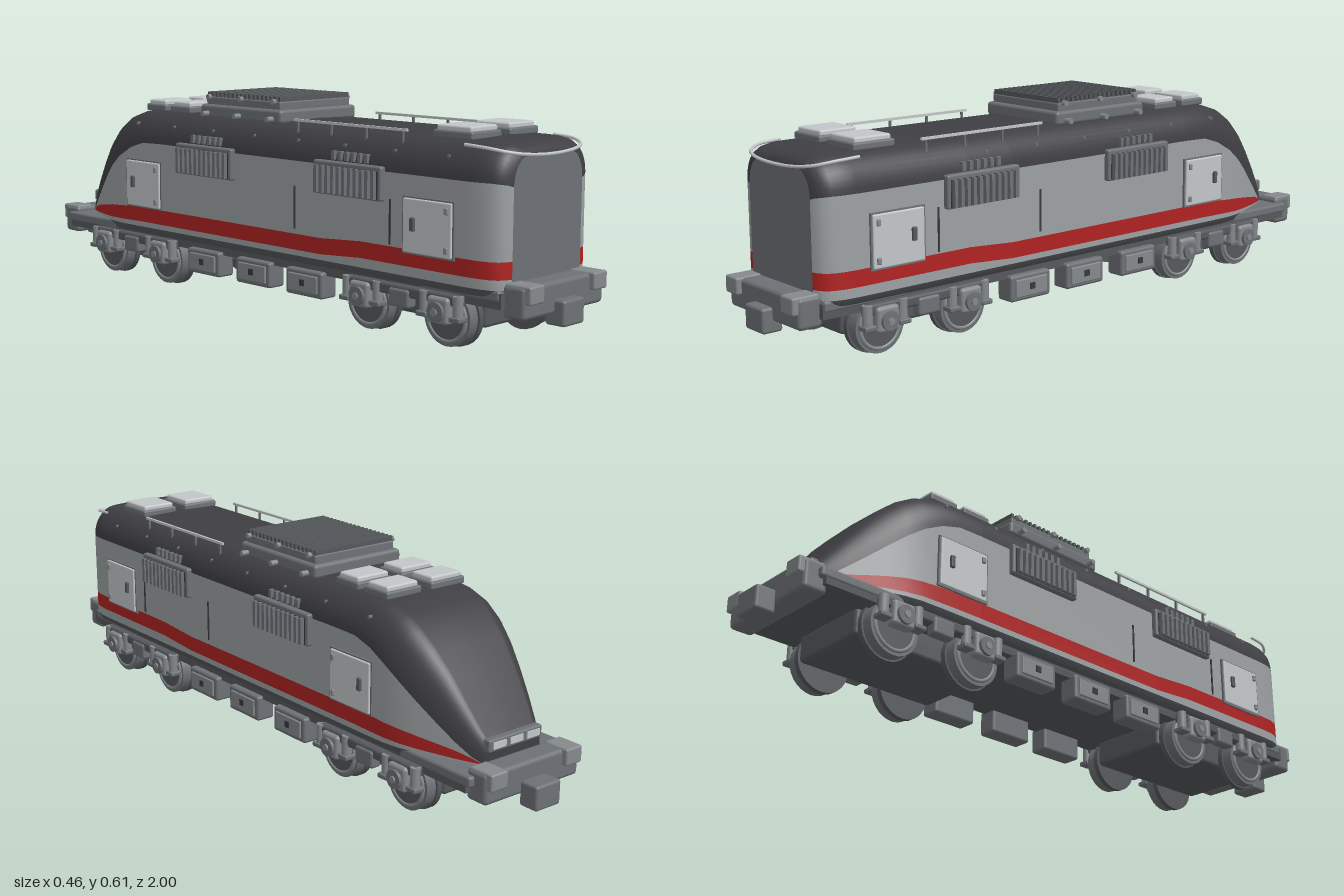
import * as THREE from 'three';
import { RoundedBoxGeometry } from 'three/addons/geometries/RoundedBoxGeometry.js';

const paint = (name, color) => Object.assign(new THREE.MeshStandardMaterial({ color }), { name });
const MAT = {
  roof: paint('charcoal roof', 0x3f3e43),
  body: paint('light grey body', 0x9da1a3),
  red: paint('red stripe', 0xb02222),
  steel: paint('steel grey', 0x6d7175),
  pale: paint('pale panel', 0xc3c6c8),
  frame: paint('dark underframe', 0x55585c),
  iron: paint('axle box grey', 0x85898c),
  seam: paint('dark seam', 0x38393c),
};

// Body stations: z, half width, half width of flat roof, top, roof edge, stripe top, stripe bottom
const STATIONS = [
  [0.912, 0.143, 0.09, 0.507, 0.43, 0.245, 0.2],
  [0.908, 0.16, 0.095, 0.518, 0.435, 0.245, 0.2],
  [0.897, 0.178, 0.1, 0.528, 0.438, 0.245, 0.2],
  [0.878, 0.19, 0.108, 0.535, 0.44, 0.245, 0.2],
  [0.85, 0.197, 0.115, 0.539, 0.44, 0.245, 0.2],
  [0.81, 0.2, 0.12, 0.54, 0.44, 0.245, 0.2],
  [0.45, 0.2, 0.12, 0.54, 0.44, 0.245, 0.2],
  [0.3, 0.2, 0.12, 0.54, 0.44, 0.235, 0.19],
  [-0.4, 0.2, 0.12, 0.54, 0.44, 0.235, 0.19],
  [-0.48, 0.2, 0.12, 0.54, 0.438, 0.235, 0.19],
  [-0.54, 0.2, 0.12, 0.534, 0.42, 0.234, 0.189],
  [-0.6, 0.199, 0.12, 0.515, 0.388, 0.23, 0.188],
  [-0.65, 0.191, 0.117, 0.485, 0.352, 0.226, 0.186],
  [-0.7, 0.176, 0.112, 0.442, 0.31, 0.219, 0.184],
  [-0.75, 0.157, 0.104, 0.387, 0.267, 0.211, 0.182],
  [-0.8, 0.137, 0.096, 0.322, 0.225, 0.202, 0.18],
  [-0.84, 0.118, 0.088, 0.268, 0.194, 0.19, 0.178],
  [-0.87, 0.1, 0.08, 0.23, 0.176, 0.176, 0.176],
];

const roofArc = ([, w, f, top, edge]) => {
  const half = [];
  for (let i = 0; i <= 10; i++) {
    const a = (i / 10) * Math.PI / 2;
    half.push([f + (w - f) * Math.cos(a), edge + (top - 0.004 - edge) * Math.sin(a)]);
  }
  return [...half, [0, top], ...half.map(([x, y]) => [-x, y]).reverse()];
};

// Joins one row of points per station into a smooth skin
function skin(row) {
  const pos = [], idx = [];
  const rows = STATIONS.map(row), n = rows[0].length;
  rows.forEach((r, i) => r.forEach(([x, y]) => pos.push(x, y, STATIONS[i][0])));
  for (let i = 0; i < rows.length - 1; i++) for (let j = 0; j < n - 1; j++) {
    const a = i * n + j, c = a + n;
    idx.push(a, c, a + 1, a + 1, c, c + 1);
  }
  const g = new THREE.BufferGeometry();
  g.setAttribute('position', new THREE.Float32BufferAttribute(pos, 3));
  g.setIndex(idx);
  g.computeVertexNormals();
  return g;
}

export function createModel() {
  const model = new THREE.Group();
  model.name = 'locomotive';
  const add = (name, geo, mat, x = 0, y = 0, z = 0) => {
    const m = new THREE.Mesh(geo, mat);
    m.name = name;
    m.position.set(x, y, z);
    model.add(m);
    return m;
  };
  const box = (name, mat, w, h, d, x, y, z, r = 0) =>
    add(name, r ? new RoundedBoxGeometry(w, h, d, 2, r) : new THREE.BoxGeometry(w, h, d), mat, x, y, z);
  const disc = (name, mat, r, len, x, y, z, n = 28) => {
    const m = add(name, new THREE.CylinderGeometry(r, r, len, n), mat, x, y, z);
    m.rotation.z = Math.PI / 2;
    return m;
  };
  const tube = (name, mat, pts, r) =>
    add(name, new THREE.TubeGeometry(new THREE.CatmullRomCurve3(pts.map(p => new THREE.Vector3(...p))), 40, r, 8), mat);

  // Body skin in colour bands
  add('roofShell', skin(roofArc), MAT.roof);
  const bands = [
    ['bodyBelly', MAT.frame, s => [[s[1] * 0.88, 0.148], [s[1] * 0.95, 0.156], [s[1], 0.174]]],
    ['lowerSide', MAT.body, s => [[s[1], 0.174], [s[1], s[6]]]],
    ['sideStripe', MAT.red, s => [[s[1], s[6]], [s[1], s[5]]]],
    ['upperSide', MAT.body, s => [[s[1], s[5]], [s[1], s[4]]]],
  ];
  for (const [name, mat, row] of bands) {
    add(name + 'Left', skin(row), mat);
    add(name + 'Right', skin(s => row(s).map(([x, y]) => [-x, y]).reverse()), mat);
  }
  // End faces
  const endFace = s => new THREE.ShapeGeometry(new THREE.Shape(
    [[-s[1], 0.15], [s[1], 0.15], ...roofArc(s)].map(p => new THREE.Vector2(...p))));
  add('frontFace', endFace(STATIONS[0]), MAT.steel, 0, 0, 0.912);
  add('noseTip', endFace(STATIONS.at(-1)), MAT.roof, 0, 0, -0.87).rotation.y = Math.PI;

  // Nose lamp bar
  box('noseLampBar', MAT.steel, 0.19, 0.035, 0.025, 0, 0.225, -0.868, 0.006);
  for (const x of [-0.06, 0, 0.06]) box('noseLamp', MAT.pale, 0.045, 0.018, 0.006, x, 0.226, -0.881);

  // Underframe and end beams
  box('underframe', MAT.frame, 0.365, 0.04, 1.8, 0, 0.148, 0.01);
  for (const e of [1, -1]) {
    const o = e > 0 ? 0 : 0.025;
    box('endBeam', MAT.steel, 0.336, 0.085, 0.07, 0, 0.148, e * (0.935 - o), 0.012);
    box('endDeck', MAT.steel, 0.37, 0.03, 0.26, 0, 0.16, e * 0.775, 0.008);
    box('coupler', MAT.steel, 0.088, 0.068, 0.06, 0, 0.11, e * 0.97, 0.008);
    for (const s of [1, -1]) box('buffer', MAT.iron, 0.058, 0.047, 0.08, s * 0.134, 0.17, e * (0.945 - o), 0.006);
  }

  // Roof fan unit with cross slats
  box('fanUnitBase', MAT.steel, 0.31, 0.04, 0.35, 0, 0.55, -0.08, 0.01);
  box('fanUnitBody', MAT.steel, 0.285, 0.025, 0.32, 0, 0.58, -0.08, 0.004);
  for (let i = 0; i < 18; i++) box('fanSlat', MAT.frame, 0.28, 0.015, 0.009, 0, 0.599, -0.233 + i * 0.018);
  for (const s of [1, -1]) for (const z of [-0.22, -0.08, 0.06]) {
    disc('fanUnitBolt', MAT.iron, 0.008, 0.012, s * 0.15, 0.592, z, 10);
    disc('fanBaseBolt', MAT.iron, 0.008, 0.025, s * 0.165, 0.543, z, 10);
  }

  // Roof hatches
  for (const s of [1, -1]) for (const [z, d] of [[0.71, 0.12], [-0.37, 0.085], [-0.488, 0.085]]) {
    box('hatchFrame', MAT.steel, 0.122, 0.022, d + 0.01, s * 0.078, 0.544, z, 0.006);
    box('hatchLid', MAT.pale, 0.108, 0.018, d - 0.006, s * 0.078, 0.559, z, 0.006);
  }

  // Handrails
  const railEnd = [[0.185, 0.529, 0.79], [0.178, 0.524, 0.86], [0.15, 0.515, 0.9], [0.1, 0.508, 0.918]];
  tube('frontHandrail', MAT.pale,
    [...railEnd, [0, 0.503, 0.922], ...railEnd.map(([x, y, z]) => [-x, y, z]).reverse()], 0.0045);
  for (const s of [1, -1]) {
    box('roofRail', MAT.pale, 0.007, 0.007, 0.42, s * 0.168, 0.549, 0.375);
    for (const z of [0.18, 0.31, 0.44, 0.57]) box('railPost', MAT.steel, 0.006, 0.04, 0.006, s * 0.168, 0.53, z);
  }

  for (const s of [1, -1]) {
    // Side doors with handle and hinges
    for (const z of [0.69, -0.47]) {
      box('doorSurround', MAT.steel, 0.01, 0.15, 0.172, s * 0.201, 0.31, z);
      box('sideDoor', MAT.pale, 0.016, 0.142, 0.162, s * 0.203, 0.31, z, 0.004);
      box('doorHandle', MAT.frame, 0.02, 0.036, 0.014, s * 0.209, 0.315, z - 0.045, 0.003);
      for (const y of [0.26, 0.36]) box('doorHinge', MAT.iron, 0.02, 0.018, 0.012, s * 0.207, y, z + 0.066, 0.003);
    }
    // Side louvres
    for (const z of [0.412, -0.175]) {
      box('louvreFrame', MAT.steel, 0.022, 0.092, 0.25, s * 0.206, 0.407, z, 0.006);
      box('louvreRecess', MAT.seam, 0.004, 0.074, 0.23, s * 0.216, 0.403, z);
      for (let i = 0; i < 11; i++) box('louvreSlat', MAT.steel, 0.016, 0.074, 0.011, s * 0.221, 0.403, z - 0.105 + i * 0.021);
      for (let i = 0; i < 6; i++) box('ventFin', MAT.steel, 0.022, 0.024, 0.012, s * 0.195, 0.468, z - 0.06 + i * 0.024);
    }
    // Panel seams and roof bolts
    for (const z of [0.557, 0.2]) box('panelSeam', MAT.seam, 0.006, 0.12, 0.005, s * 0.2, 0.31, z);
    for (let i = 0; i < 8; i++) disc('roofBolt', MAT.steel, 0.005, 0.012, s * 0.183, 0.495, 0.74 - i * 0.18, 8);

    // Equipment boxes
    for (const z of [0.235, 0.025, -0.195]) {
      box('equipmentBox', MAT.steel, 0.06, 0.075, 0.145, s * 0.172, 0.1, z, 0.008);
      box('equipmentLid', MAT.iron, 0.01, 0.05, 0.115, s * 0.202, 0.1, z, 0.003);
      box('equipmentLatch', MAT.seam, 0.008, 0.018, 0.018, s * 0.206, 0.102, z);
    }
  }

  // Bogies
  for (const zc of [0.597, -0.533]) {
    box('bogieBlock', MAT.frame, 0.25, 0.08, 0.44, 0, 0.096, zc, 0.012);
    for (const s of [1, -1]) {
      box('bogieSideFrame', MAT.frame, 0.03, 0.03, 0.4, s * 0.192, 0.133, zc, 0.008);
      box('bogieCentre', MAT.steel, 0.035, 0.05, 0.07, s * 0.195, 0.115, zc, 0.008);
      for (const z of [zc + 0.137, zc - 0.137]) {
        // Wheel with flange, web and hub
        disc('wheelFlange', MAT.frame, 0.082, 0.016, s * 0.138, 0.082, z);
        disc('wheelTread', MAT.steel, 0.076, 0.034, s * 0.16, 0.081, z);
        disc('wheelWeb', MAT.frame, 0.058, 0.006, s * 0.177, 0.081, z);
        const rim = add('wheelRim', new THREE.TorusGeometry(0.062, 0.006, 8, 28), MAT.iron, s * 0.177, 0.081, z);
        rim.rotation.y = Math.PI / 2;
        box('axleBox', MAT.iron, 0.035, 0.07, 0.07, s * 0.202, 0.105, z, 0.01);
        disc('axleCap', MAT.steel, 0.026, 0.016, s * 0.22, 0.102, z, 18);
        disc('axleBolt', MAT.iron, 0.01, 0.008, s * 0.228, 0.102, z, 10);
        for (const d of [0.055, -0.055]) {
          add('spring', new THREE.CylinderGeometry(0.014, 0.014, 0.055, 12), MAT.iron, s * 0.2, 0.12, z + d);
          box('springSeat', MAT.steel, 0.036, 0.014, 0.036, s * 0.2, 0.088, z + d, 0.004);
        }
      }
    }
    for (const z of [zc + 0.137, zc - 0.137]) disc('axle', MAT.steel, 0.02, 0.3, 0, 0.082, z, 14);
  }
  return model;
}
